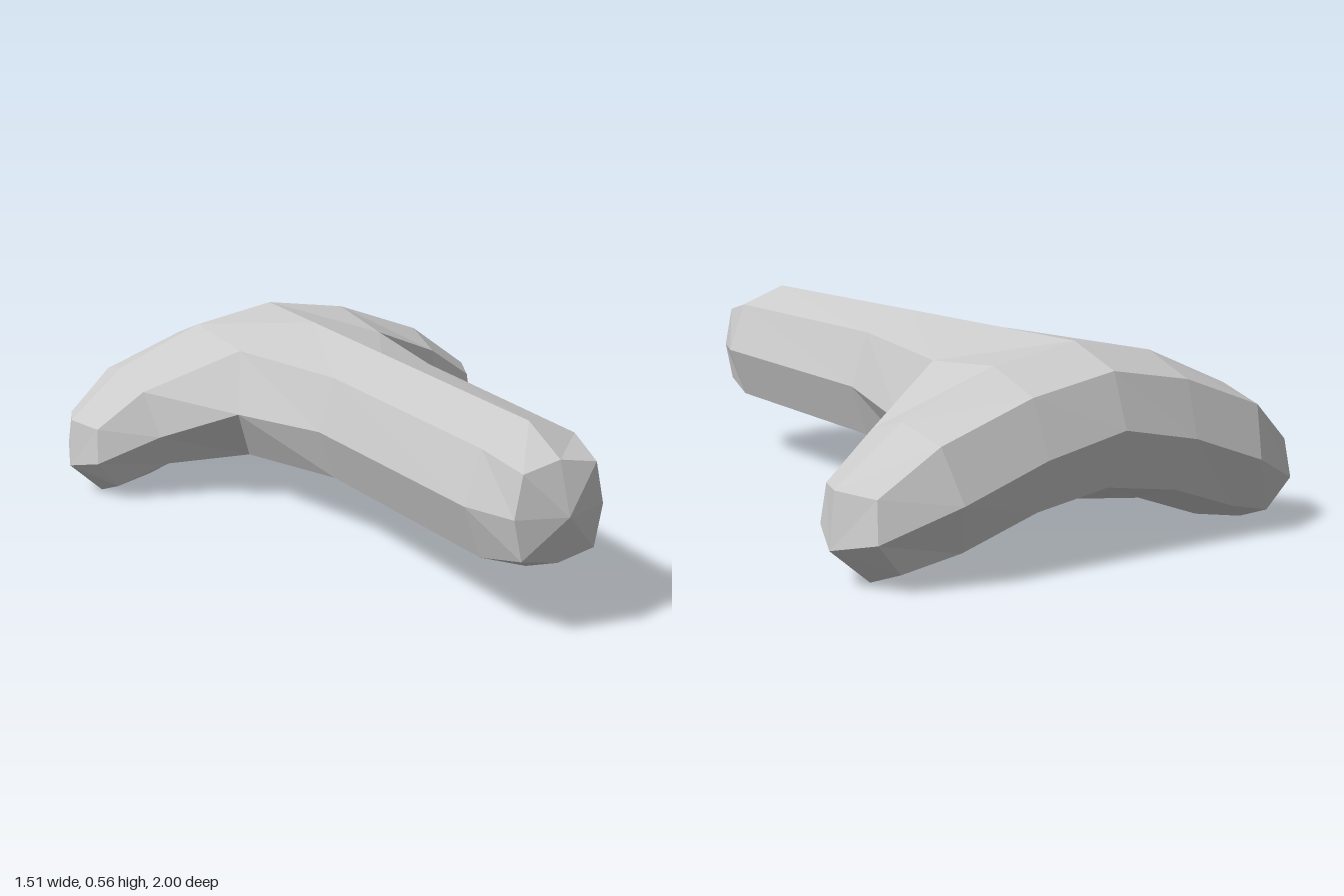
import * as THREE from 'three';

const MID = -0.025; // x of the stem's axis

// Points are [distance out from the axis, y, z]; the right side is slightly shorter.
const place = ([d, y, z], side) => [MID + (side > 0 ? d : -(d - 0.09 * d * d)), y, z];

// Middle of the crossbar: top, underside, then three points round the back
const mid = {
  0: [0, 0.565, -0.78], 4: [0, 0.13, -0.78], 5: [0, 0.19, -0.93],
  6: [0, 0.355, -1], 7: [0, 0.505, -0.945],
};

// Arm sections: top, upper front, front, lower front, bottom, lower back, back, upper back
const shoulder = [
  [0.27, 0.52, -0.78], [0.255, 0.495, -0.48], [0.31, 0.315, -0.39], [0.235, 0.15, -0.47],
  [0.235, 0.105, -0.79], [0.24, 0.155, -0.935], [0.255, 0.305, -1], [0.265, 0.46, -0.945],
];
const elbow = [
  [0.565, 0.405, -0.79], [0.55, 0.36, -0.63], [0.52, 0.22, -0.57], [0.475, 0.115, -0.61],
  [0.465, 0.03, -0.79], [0.475, 0.08, -0.93], [0.515, 0.22, -1], [0.55, 0.365, -0.945],
];
const hand = [
  [0.765, 0.253, -0.79], [0.715, 0.245, -0.67], [0.725, 0.135, -0.655], [0.645, 0.045, -0.67],
  [0.66, 0, -0.79], [0.645, 0.045, -0.91], [0.725, 0.135, -0.93], [0.715, 0.245, -0.91],
];
const handTip = Array(8).fill([0.78, 0.1, -0.79]);

// Stem half-sections from top to bottom; the first shares the shoulder's front points
const root = [[0, 0.565, -0.45], shoulder[1], shoulder[2], shoulder[3], [0, 0.13, -0.52]];
const half = (z, top, bottom, side, w, wDiag, up, low) =>
  [[0, top, z], [wDiag, up, z], [w, side, z], [wDiag, low, z], [0, bottom, z]];
const stemSections = [
  root,
  half(0, 0.565, 0.145, 0.35, 0.22, 0.165, 0.51, 0.197),
  half(0.8, 0.565, 0.155, 0.36, 0.203, 0.148, 0.51, 0.207),
  half(0.95, 0.5, 0.215, 0.357, 0.14, 0.115, 0.477, 0.238),
  Array(5).fill([0, 0.357, 1]),
];

// Flat-faced mesh from quads, given for the +x side
function facets(name, quads, sides, material) {
  const pos = [];
  for (const side of sides) {
    for (const quad of quads) {
      const q = quad.map((p) => place(p, side));
      if (side < 0) q.reverse();
      for (const tri of [[0, 1, 2], [0, 2, 3]]) {
        const [a, b, c] = tri.map((i) => new THREE.Vector3(...q[i]));
        if (new THREE.Triangle(a, b, c).getArea() > 1e-7) {
          for (const v of [a, b, c]) pos.push(v.x, v.y, v.z);
        }
      }
    }
  }
  const geometry = new THREE.BufferGeometry();
  geometry.setAttribute('position', new THREE.Float32BufferAttribute(pos, 3));
  geometry.computeVertexNormals();
  const mesh = new THREE.Mesh(geometry, material);
  mesh.name = name;
  return mesh;
}

export function createModel() {
  const group = new THREE.Group();
  group.name = 'tHandle';
  const material = new THREE.MeshStandardMaterial({ color: 0xcccccc, flatShading: true });

  // Arm: back half of the middle, webs to the stem, then closed sections out to the tip
  const arm = [
    [mid[0], root[0], shoulder[1], shoulder[0]],
    [root[4], mid[4], shoulder[4], shoulder[3]],
  ];
  for (let j = 4; j < 8; j++) {
    const k = (j + 1) % 8;
    arm.push([mid[j], mid[k], shoulder[k], shoulder[j]]);
  }
  const rings = [shoulder, elbow, hand, handTip];
  for (let i = 0; i < 3; i++) {
    for (let j = 0; j < 8; j++) {
      const k = (j + 1) % 8;
      arm.push([rings[i][j], rings[i][k], rings[i + 1][k], rings[i + 1][j]]);
    }
  }
  group.add(facets('leftArm', arm, [1], material));
  group.add(facets('rightArm', arm, [-1], material));

  // Stem: half-sections joined along z, mirrored
  const stem = [];
  for (let i = 0; i < 4; i++) {
    const a = stemSections[i], b = stemSections[i + 1];
    for (let j = 0; j < 4; j++) stem.push([b[j], b[j + 1], a[j + 1], a[j]]);
  }
  group.add(facets('stem', stem, [1, -1], material));
  return group;
}
